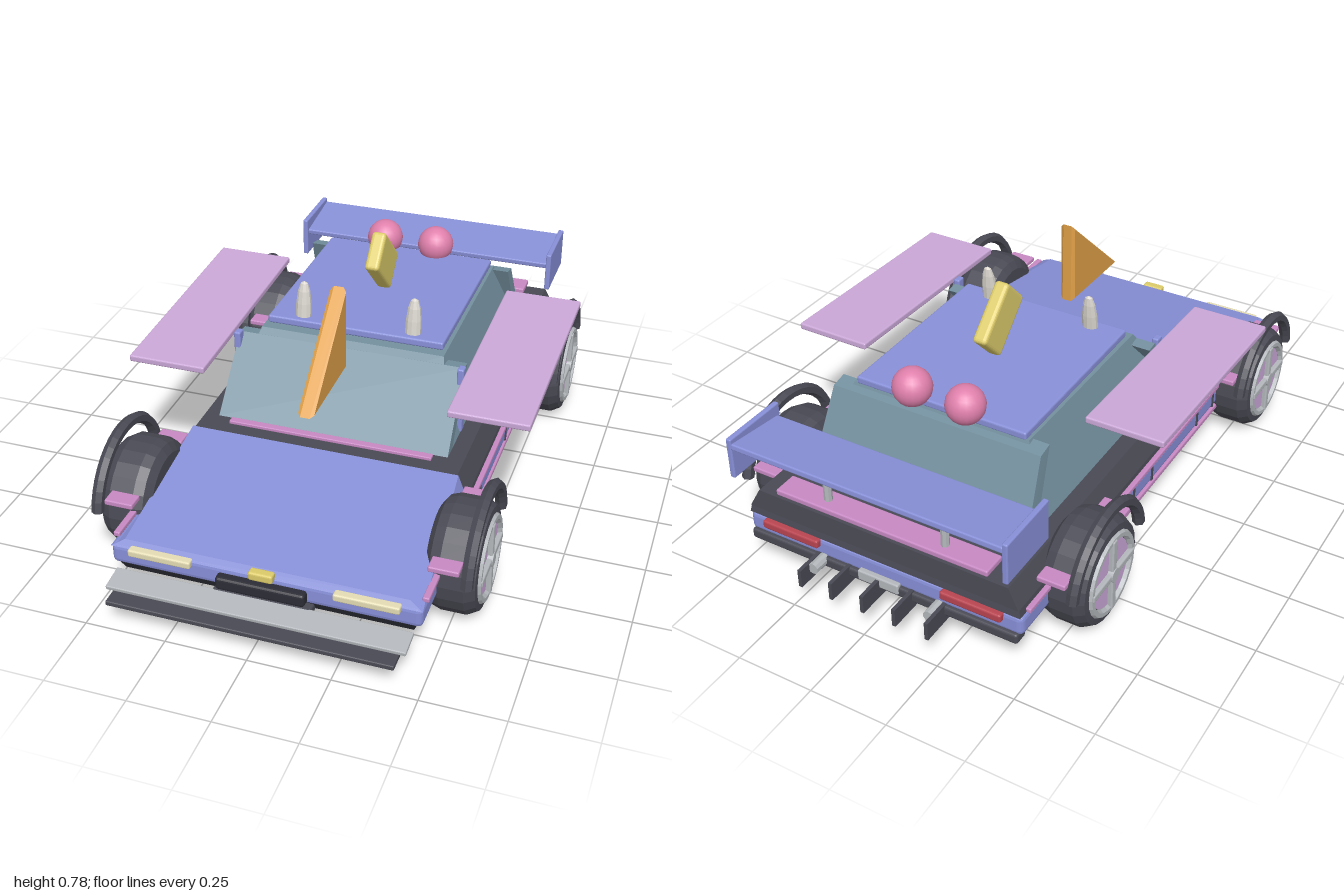
import * as THREE from 'three';
import { RoundedBoxGeometry } from 'three/addons/geometries/RoundedBoxGeometry.js';

const mat = (color) => new THREE.MeshStandardMaterial({ color, flatShading: true });
const BLUE = mat(0x8890d8), LILAC = mat(0xcba8d8), PINK = mat(0xc88ac4), BALL = mat(0xe080ac),
  TEAL = mat(0x74909f), DARK = mat(0x4a4a55), BLACK = mat(0x2c2c36), ORANGE = mat(0xe0a048),
  YELLOW = mat(0xdccb6a), CREAM = mat(0xe4dcb4), WHITE = mat(0xd8d4cc), RED = mat(0xb84450), GREY = mat(0xb4b8bc);
BALL.flatShading = false;

export function createModel() {
  const car = new THREE.Group();
  car.name = 'car';

  const add = (name, geo, material, x = 0, y = 0, z = 0, rx = 0, parent = car) => {
    const m = new THREE.Mesh(geo, material);
    m.name = name;
    m.position.set(x, y, z);
    m.rotation.x = rx;
    parent.add(m);
    return m;
  };
  // softly bevelled box given by its size and centre
  const box = (name, material, w, h, d, x, y, z, rx = 0, parent = car) =>
    add(name, new RoundedBoxGeometry(w, h, d, 2, Math.min(w, h, d) * 0.25), material, x, y, z, rx, parent);
  // tapered block: bottom and top rectangles as [halfWidth, zBack, zFront, yBack, yFront]
  const block = (name, material, bottom, top) => {
    const g = new THREE.BoxGeometry(1, 1, 1), p = g.attributes.position;
    for (let i = 0; i < p.count; i++) {
      const [hw, zb, zf, yb, yf] = p.getY(i) > 0 ? top : bottom;
      const front = p.getZ(i) > 0;
      p.setXYZ(i, Math.sign(p.getX(i)) * hw, front ? yf : yb, front ? zf : zb);
    }
    g.computeVertexNormals();
    return add(name, g, material);
  };
  // plate extruded along x from a side outline of [z, y] points
  const sidePlate = (pts, width, bevel) => {
    const s = new THREE.Shape(pts.map(([z, y]) => new THREE.Vector2(-z, y)));
    const g = new THREE.ExtrudeGeometry(s, {
      depth: width - 2 * bevel, bevelEnabled: bevel > 0, bevelSize: bevel, bevelThickness: bevel, bevelOffset: -bevel, bevelSegments: 1,
    });
    return g.translate(0, 0, -width / 2 + bevel).rotateY(Math.PI / 2);
  };

  // chassis, lower band and body
  block('floor', BLACK, [0.44, -0.88, 0.84, 0.1, 0.1], [0.455, -0.9, 0.86, 0.14, 0.14]);
  box('lowerBand', BLUE, 0.94, 0.07, 1.77, 0, 0.165, -0.018);
  block('upperBody', DARK, [0.465, -0.905, 0.36, 0.2, 0.2], [0.46, -0.9, 0.36, 0.225, 0.225]);
  block('shoulder', DARK, [0.46, -0.905, 0.36, 0.225, 0.225], [0.425, -0.9, 0.355, 0.29, 0.29]);
  block('hood', BLUE, [0.47, 0.355, 0.865, 0.19, 0.19], [0.43, 0.355, 0.85, 0.295, 0.212]);
  box('rearBumper', DARK, 0.92, 0.035, 0.05, 0, 0.125, -0.89);

  // nose details
  box('grille', BLACK, 0.27, 0.042, 0.04, 0, 0.158, 0.875);
  box('noseLamp', YELLOW, 0.074, 0.028, 0.03, 0, 0.2, 0.868);
  box('splitterUpper', GREY, 0.9, 0.014, 0.08, 0, 0.113, 0.915, 0.12);
  box('splitterLower', DARK, 0.86, 0.016, 0.14, 0, 0.092, 0.93);
  box('splitterMount', DARK, 0.3, 0.03, 0.05, 0, 0.11, 0.86);

  // cabin with overhanging screens
  block('cabin', TEAL, [0.375, -0.68, 0.25, 0.285, 0.285], [0.3, -0.57, 0.075, 0.525, 0.525]);
  block('windscreen', TEAL, [0.375, 0.22, 0.275, 0.295, 0.295], [0.37, 0.05, 0.09, 0.5, 0.505]);
  block('rearScreen', TEAL, [0.37, -0.705, -0.65, 0.29, 0.29], [0.355, -0.6, -0.55, 0.51, 0.52]);
  box('screenTrim', PINK, 0.66, 0.012, 0.025, 0, 0.295, 0.29);
  box('roof', BLUE, 0.58, 0.026, 0.62, 0, 0.537, -0.262, -0.012);

  // roof ornaments
  add('prowFin', sidePlate([[0.5, 0.5], [0.19, 0.5], [0.19, 0.776]], 0.05, 0.01), ORANGE);
  box('roofBlock', YELLOW, 0.048, 0.13, 0.2, 0, 0.658, -0.238, -0.77);

  // rear wing and deck
  box('wingPlate', BLUE, 0.9, 0.02, 0.21, 0, 0.468, -0.862, 0.12);
  box('rearDeck', PINK, 0.72, 0.02, 0.08, 0, 0.308, -0.86);
  box('licencePlate', GREY, 0.14, 0.035, 0.02, 0, 0.135, -0.91);
  for (let i = -2; i <= 2; i++)
    add('diffuserFin', sidePlate([[-0.85, 0.085], [-1, 0.085], [-1, 0.145], [-0.85, 0.145]], 0.012, 0), DARK, i * 0.109);

  // horn silhouette, flattened along z
  const hornProfile = [[0.026, 0], [0.025, 0.05], [0.02, 0.09], [0.012, 0.115], [0, 0.122]];
  const hornGeo = new THREE.LatheGeometry(hornProfile.map(([r, y]) => new THREE.Vector2(r, y)), 10);
  hornGeo.scale(1, 1, 0.75);
  const hp = hornGeo.attributes.position;
  for (let i = 0; i < hp.count; i++) hp.setZ(i, hp.getZ(i) - hp.getY(i) * 0.12);

  // mirrored parts
  for (const s of [1, -1]) {
    box('headlight', CREAM, 0.195, 0.024, 0.03, s * 0.312, 0.188, 0.868);
    box('tailLight', RED, 0.2, 0.028, 0.03, s * 0.31, 0.182, -0.905);
    add('roofBall', new THREE.SphereGeometry(0.061, 20, 14), BALL, s * 0.091, 0.577, -0.57);
    add('horn', hornGeo, WHITE, s * 0.182, 0.547, 0.012);
    box('screenPillar', BLUE, 0.022, 0.225, 0.032, s * 0.367, 0.405, 0.11);
    box('sideWing', LILAC, 0.25, 0.022, 0.75, s * 0.51, 0.51, -0.025, 0.03);
    box('wingEndPlate', BLUE, 0.018, 0.135, 0.22, s * 0.456, 0.437, -0.857);
    add('wingPost', new THREE.CylinderGeometry(0.013, 0.013, 0.16, 8), GREY, s * 0.2, 0.385, -0.86);
    add('exhaust', new THREE.CylinderGeometry(0.018, 0.018, 0.07, 10), GREY, s * 0.2, 0.13, -0.925, Math.PI / 2);
    box('upperSill', PINK, 0.02, 0.016, 1.7, s * 0.468, 0.204, -0.02);
    box('lowerSill', PINK, 0.02, 0.018, 1.0, s * 0.462, 0.118, -0.02);
    box('doorHandle', GREY, 0.02, 0.012, 0.07, s * 0.468, 0.182, -0.34);
    box('windowHandle', GREY, 0.02, 0.01, 0.035, s * 0.37, 0.33, 0.035);
    for (const z of [0.355, 0.23, -0.105, -0.23]) box('sillDivider', DARK, 0.012, 0.055, 0.01, s * 0.468, 0.165, z);
  }

  // wheels with arches and arch brackets
  const tyreProfile = [[0.1, -0.078], [0.135, -0.078], [0.162, -0.06], [0.172, -0.03], [0.172, 0.045], [0.155, 0.075], [0.13, 0.078], [0.12, 0.06], [0, 0.06]];
  const tyreGeo = new THREE.LatheGeometry(tyreProfile.map(([r, y]) => new THREE.Vector2(r, y)), 24).rotateZ(-Math.PI / 2);
  const disc = (r, w) => new THREE.CylinderGeometry(r, r, w, 24).rotateZ(-Math.PI / 2);
  for (const s of [1, -1]) for (const z of [0.555, -0.59]) {
    const wheel = new THREE.Group();
    wheel.name = 'wheel';
    wheel.position.set(s * 0.502, 0.172, z);
    if (s < 0) wheel.rotation.y = Math.PI;
    car.add(wheel);
    add('tyre', tyreGeo, DARK, 0, 0, 0, 0, wheel);
    add('innerHub', disc(0.1, 0.06), DARK, -0.048, 0, 0, 0, wheel);
    add('rimDisc', disc(0.108, 0.02), LILAC, 0.065, 0, 0, 0, wheel);
    add('rimRing', new THREE.TorusGeometry(0.123, 0.013, 6, 24).rotateY(Math.PI / 2), GREY, 0.075, 0, 0, 0, wheel);
    for (const r of [0, Math.PI / 2]) box('spoke', GREY, 0.02, 0.25, 0.024, 0.08, 0, 0, r, wheel);
    add('hubCap', disc(0.022, 0.02), GREY, 0.083, 0, 0, 0, wheel);

    const arch = new THREE.TorusGeometry(0.205, 0.019, 6, 18, Math.PI - 0.3).rotateZ(0.15).rotateY(Math.PI / 2);
    add('wheelArch', arch, DARK, s * 0.564, 0.182, z);
    for (const e of [1, -1]) box('archBracket', PINK, 0.09, 0.018, 0.055, s * 0.495, 0.252, z + e * 0.175);
    add('axle', disc(0.03, 0.12), DARK, s * 0.42, 0.172, z);
  }
  return car;
}
